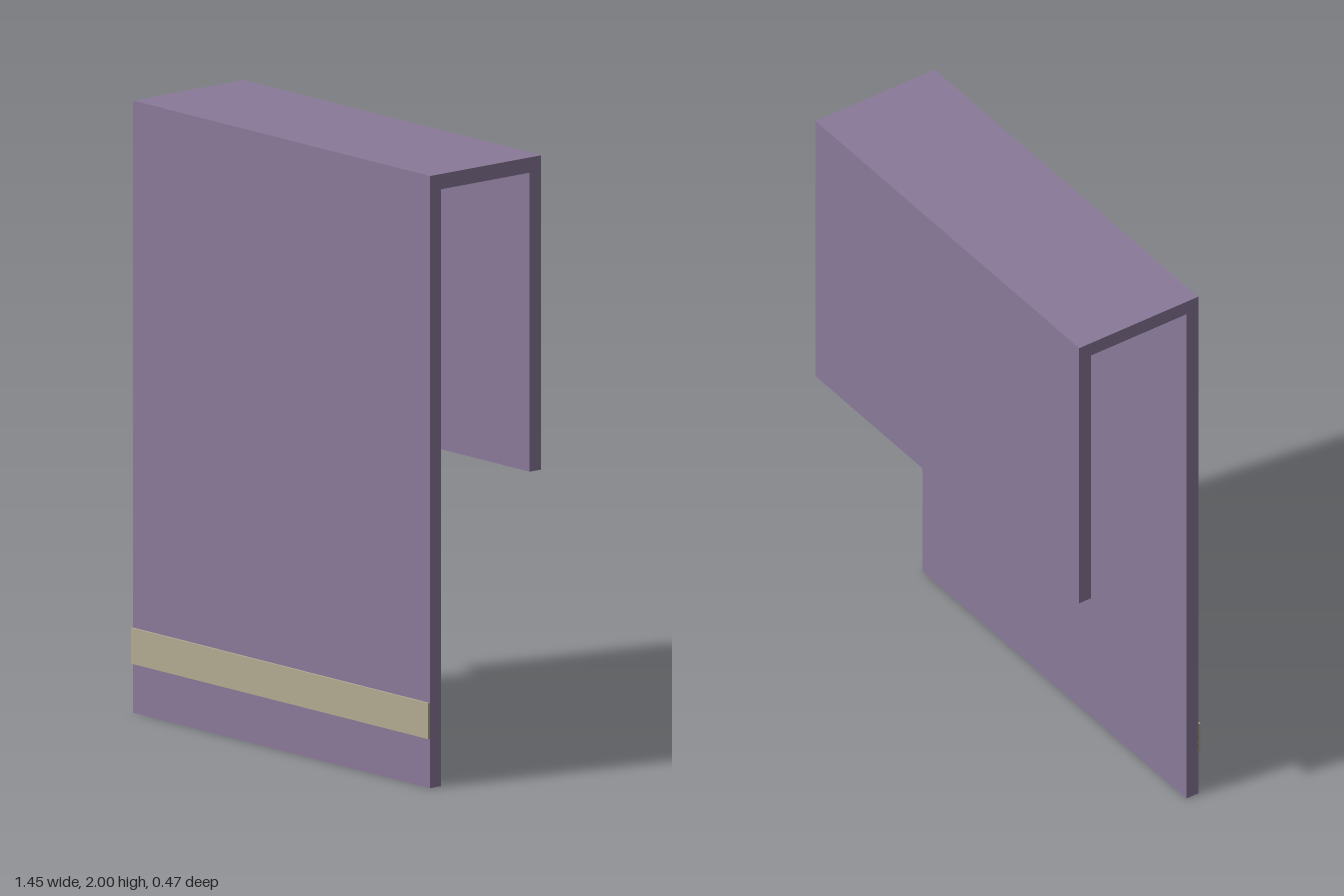
import * as THREE from 'three';

const WIDTH = 1.454;

export function createModel() {
  const group = new THREE.Group();
  const cloth = new THREE.MeshStandardMaterial({ color: 0x8a7a9a });
  const trim = new THREE.MeshStandardMaterial({ color: 0xb3ac93 });

  // Folded sheet: hooked side profile (z, y) extruded across the width
  const front = 0.229, back = -0.237, t = 0.047, top = 2, backHem = 0.973;
  const profile = new THREE.Shape([
    [front, 0], [front, top], [back, top], [back, backHem],
    [back + t, backHem], [back + t, top - 0.05], [front - t, top - 0.05], [front - t, 0],
  ].map(([z, y]) => new THREE.Vector2(-z, y)));
  const sheetGeometry = new THREE.ExtrudeGeometry(profile, { depth: WIDTH, bevelEnabled: false });
  sheetGeometry.translate(0, 0, -WIDTH / 2);
  sheetGeometry.rotateY(Math.PI / 2); // profile x becomes -z, depth becomes x
  const sheet = new THREE.Mesh(sheetGeometry, cloth);
  sheet.name = 'foldedSheet';
  group.add(sheet);

  // Thin decorative band near the front hem
  const band = new THREE.Mesh(new THREE.BoxGeometry(WIDTH, 0.117, 0.012), trim);
  band.position.set(0, 0.22, 0.231);
  band.name = 'trimBand';
  group.add(band);

  return group;
}
